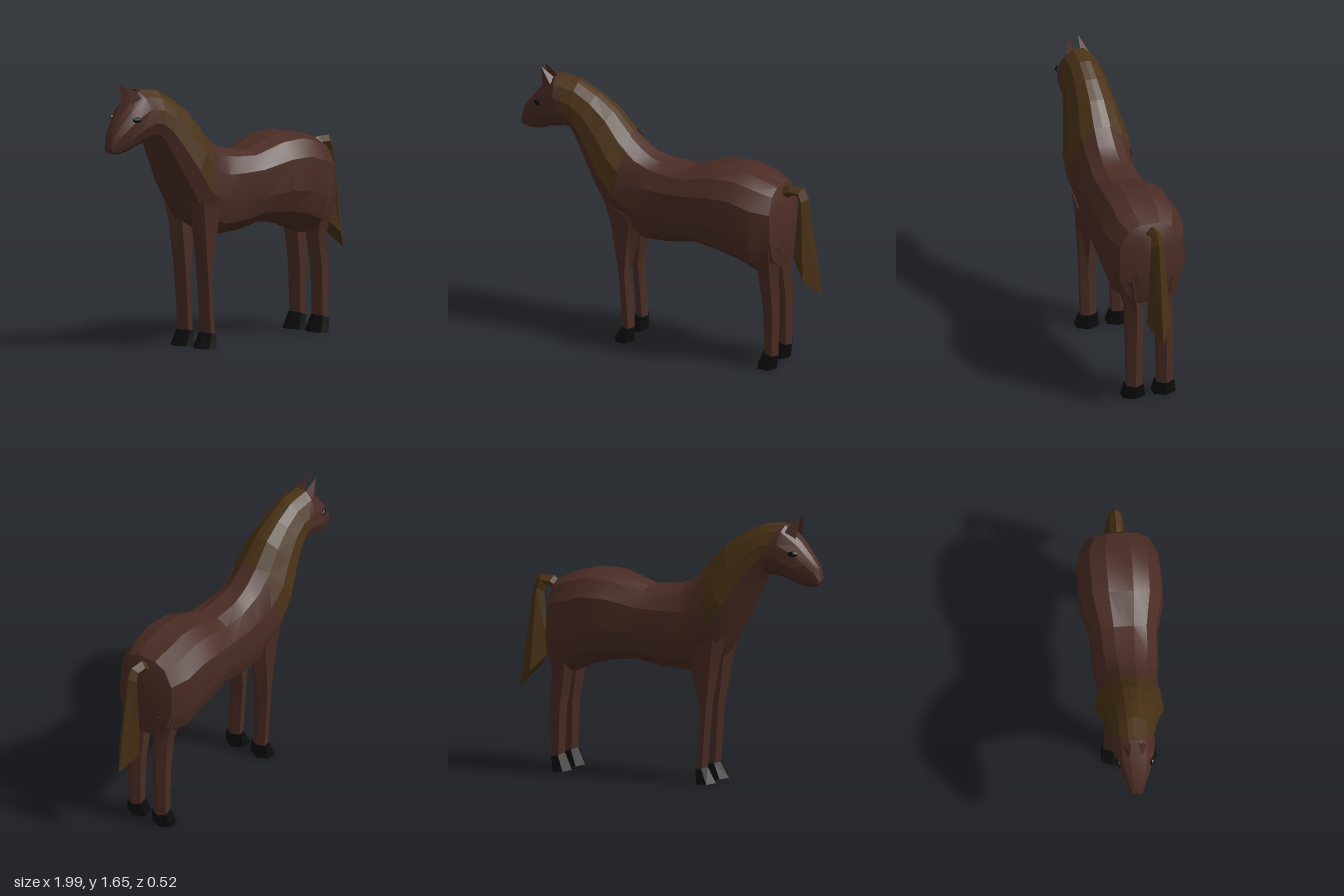
import * as THREE from 'three';
import { toCreasedNormals } from 'three/addons/utils/BufferGeometryUtils.js';

const mat = (color, extra = {}) => new THREE.MeshStandardMaterial({ color, ...extra });
const V = (x, y, z) => new THREE.Vector3(x, y, z);

// Skin a list of equal-length rings; closed lofts get fan caps and outward faces.
function loft(rings, closed = true) {
  const n = rings[0].length, pos = [], idx = [];
  rings.forEach(r => r.forEach(p => pos.push(p.x, p.y, p.z)));
  const span = closed ? n : n - 1;
  for (let i = 0; i < rings.length - 1; i++) {
    for (let j = 0; j < span; j++) {
      const a = i * n + j, b = i * n + (j + 1) % n;
      idx.push(a, b, b + n, a, b + n, a + n);
    }
  }
  if (closed) {
    [0, rings.length - 1].forEach((r, end) => {
      const c = rings[r].reduce((s, p) => s.add(p), V(0, 0, 0)).divideScalar(n);
      const k = pos.length / 3;
      pos.push(c.x, c.y, c.z);
      for (let j = 0; j < n; j++) {
        const a = r * n + j, b = r * n + (j + 1) % n;
        end ? idx.push(a, b, k) : idx.push(b, a, k);
      }
    });
    // turn the faces outward when the signed volume is negative
    const at = i => V(pos[3 * i], pos[3 * i + 1], pos[3 * i + 2]);
    let vol = 0;
    for (let i = 0; i < idx.length; i += 3) vol += at(idx[i]).dot(at(idx[i + 1]).cross(at(idx[i + 2])));
    if (vol < 0) idx.reverse();
  }
  const g = new THREE.BufferGeometry();
  g.setAttribute('position', new THREE.Float32BufferAttribute(pos, 3));
  g.setIndex(idx);
  return g;
}

// Half cross-sections [width fraction, fraction from top to bottom]: broad back and narrow neck
const BROAD = [[0, .01], [.3, 0], [.68, .06], [.96, .24], [1, .6], [.82, .84], [.42, .98], [0, 1]];
const NARROW = [[0, 0], [.25, .01], [.62, .14], [.92, .38], [1, .64], [.78, .86], [.38, .98], [0, 1]];

// Ring spanned by its top point, bottom point, half width and narrowness
function trunkRing([tx, ty, bx, by, w, s]) {
  const half = BROAD.map(([z, t], i) => {
    const u = THREE.MathUtils.lerp(t, NARROW[i][1], s);
    return V(tx + (bx - tx) * u, ty + (by - ty) * u, w * THREE.MathUtils.lerp(z, NARROW[i][0], s));
  });
  return [...half, ...half.slice(1, -1).reverse().map(p => V(p.x, p.y, -p.z))];
}

// topX, topY, bottomX, bottomY, half width, narrowness; from rump to muzzle
const TRUNK = [
  [.76, 1.09, .785, .78, .10, .2],
  [.72, 1.17, .75, .65, .20, .1],
  [.62, 1.21, .61, .61, .252, 0],
  [.48, 1.245, .50, .66, .258, 0],
  [.32, 1.238, .34, .70, .255, .1],
  [.12, 1.17, .19, .715, .205, .1],
  [-.04, 1.185, .0, .68, .20, .2],
  [-.12, 1.21, -.17, .67, .185, .4],
  [-.18, 1.25, -.38, .79, .195, .7],
  [-.28, 1.34, -.48, .97, .195, 1],
  [-.38, 1.45, -.56, 1.12, .165, 1],
  [-.50, 1.53, -.63, 1.26, .14, 1],
  [-.62, 1.59, -.66, 1.30, .128, 1],
  [-.77, 1.61, -.70, 1.30, .13, .8],
  [-.87, 1.52, -.79, 1.28, .112, .5],
  [-.94, 1.43, -.86, 1.25, .08, .4],
  [-.985, 1.36, -.93, 1.235, .052, .3],
  [-1, 1.29, -.985, 1.245, .032, .3],
];

// Upper part of neck rings, pushed slightly outward, from +z round to -z
function maneGeometry(rings) {
  const arc = (a, b, f) => {
    const mid = TRUNK[a];
    const side = [4, 3, 2, 1, 0].map(i => {
      const p = rings[a][i].clone().lerp(rings[b][i], f[i]);
      const c = V((mid[0] + mid[2]) / 2, (mid[1] + mid[3]) / 2, 0);
      return p.add(p.clone().sub(c).setLength(.01));
    });
    return [...side, ...side.slice(0, -1).reverse().map(p => V(p.x, p.y, -p.z))];
  };
  const none = [0, 0, 0, 0, 0];
  return loft([
    arc(8, 9, [.8, .8, .55, .3, .05]),
    ...[9, 10, 11, 12].map(i => arc(i, i, none)),
    arc(12, 13, [.9, .9, .7, .45, .1]),
  ], false);
}

// Six-sided leg ring: front and back points in side view, inner and outer z
function legRing([fx, fy, bx, by, zi, zo], side) {
  return Array.from({ length: 6 }, (_, i) => {
    const a = i * Math.PI / 3;
    const u = .5 - .5 * Math.cos(a), v = .5 + Math.sin(a) / Math.sqrt(3);
    return V(fx + (bx - fx) * u, fy + (by - fy) * u, side * (zi + (zo - zi) * v));
  });
}

const LEGS = {
  front: {
    leg: [[-.42, .93, -.14, .8, .06, .17], [-.375, .78, -.185, .66, .04, .155],
      [-.31, .45, -.24, .43, .045, .145], [-.285, .09, -.213, .09, .05, .142]],
    hoof: [[-.285, .1, -.21, .09, .04, .15], [-.34, .005, -.21, 0, .027, .165]],
  },
  hind: {
    leg: [[.57, .8, .775, .82, .05, .2], [.605, .61, .745, .61, .035, .145],
      [.642, .4, .755, .4, .045, .145], [.655, .1, .745, .08, .05, .142]],
    hoof: [[.655, .115, .748, .085, .04, .15], [.61, .012, .735, 0, .027, .165]],
  },
};

// Diamond ring for the tail: inner point, outer point, half width
function tailRing([ix, iy, ox, oy, w]) {
  const mx = (ix + ox) / 2, my = (iy + oy) / 2;
  return [V(ix, iy, 0), V(mx, my, w), V(ox, oy, 0), V(mx, my, -w)];
}

export function createModel() {
  const horse = new THREE.Group();
  horse.name = 'horse';
  const coat = mat(0x4a2c24), hair = mat(0x4a3216, { flatShading: true, side: THREE.DoubleSide });
  const black = mat(0x0d0d0d, { flatShading: true });
  const add = (name, geometry, material) => {
    const m = new THREE.Mesh(geometry, material);
    m.name = name;
    horse.add(m);
    return m;
  };

  // Body, neck and head in one skin
  const rings = TRUNK.map(trunkRing);
  add('bodyNeckAndHead', toCreasedNormals(loft(rings), .4), coat);
  add('mane', maneGeometry(rings), hair);

  // Tail: arched dock, then a widening, slanted switch
  add('tail', loft([
    [.74, 1.08, .72, 1.14, .035],
    [.80, 1.11, .77, 1.175, .035],
    [.825, 1.11, .87, 1.175, .035],
    [.835, 1.07, .905, 1.11, .04],
    [.80, .70, .995, .48, .075],
  ].map(tailRing)), hair);

  for (const [label, side] of [['Left', 1], ['Right', -1]]) {
    // Legs and hooves
    for (const [name, parts] of Object.entries(LEGS)) {
      add(`${name}Leg${label}`, toCreasedNormals(loft(parts.leg.map(r => legRing(r, side))), .4), coat);
      add(`${name}Hoof${label}`, loft(parts.hoof.map(r => legRing(r, side))), black);
    }

    // Ear: triangular base rising to a point
    const base = [V(-.845, 1.53, side * .045), V(-.775, 1.59, side * .02), V(-.785, 1.57, side * .075)];
    const tip = base.map(p => p.clone().lerp(V(-.865, 1.655, side * .03), .97));
    add(`ear${label}`, toCreasedNormals(loft([base, tip]), .4), coat);

    // Eye
    const eye = add(`eye${label}`, new THREE.OctahedronGeometry(1, 1), black);
    eye.scale.set(.032, .018, .014);
    eye.position.set(-.85, 1.447, side * .104);
    eye.rotation.y = side * -.3;
  }
  return horse;
}
